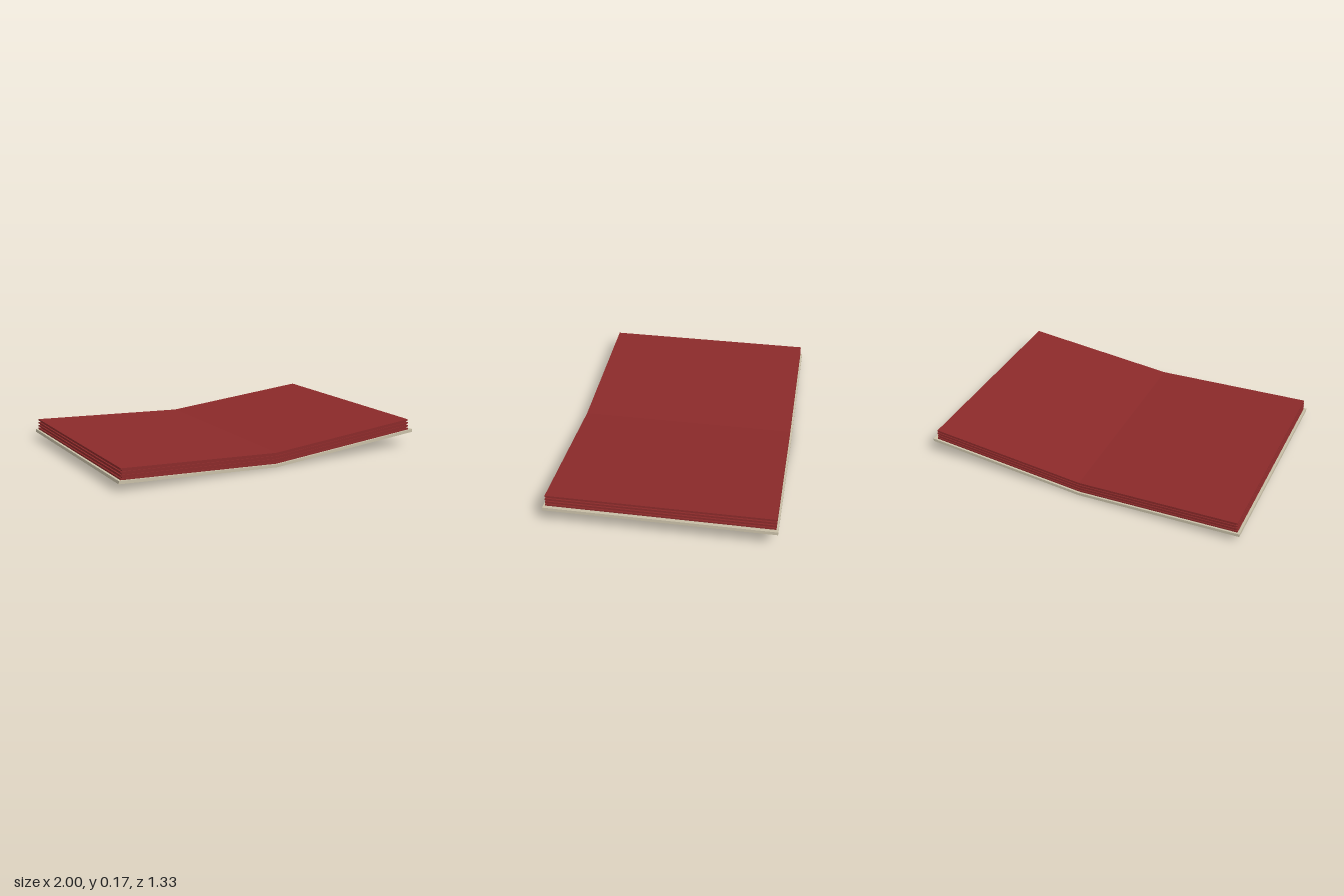
import * as THREE from 'three';

const LEFT_SLOPE = 0.046, RIGHT_SLOPE = 0.09;

// A sheet folded along x = 0, lying between two heights above the underside
function foldedSheet(name, material, low, high, leftReach, rightReach, depth) {
  // Ends stand square to their own half of the sheet
  const left = (h) => [-leftReach + h * LEFT_SLOPE, leftReach * LEFT_SLOPE + h];
  const right = (h) => [rightReach - h * RIGHT_SLOPE, rightReach * RIGHT_SLOPE + h];
  const outline = [left(low), [0, low], right(low), right(high), [0, high], left(high)];
  const shape = new THREE.Shape(outline.map(([x, y]) => new THREE.Vector2(x, y)));
  const geometry = new THREE.ExtrudeGeometry(shape, { depth, bevelEnabled: false });
  geometry.translate(0, 0, -depth / 2);
  const mesh = new THREE.Mesh(geometry, material);
  mesh.name = name;
  return mesh;
}

export function createModel() {
  const model = new THREE.Group();
  model.name = 'foldedStack';
  const backing = new THREE.MeshStandardMaterial({ color: 0xc9c0a8, flatShading: true });
  const red = new THREE.MeshStandardMaterial({ color: 0x8b2a2a, flatShading: true });

  // Pale backing board
  model.add(foldedSheet('backingBoard', backing, 0, 0.018, 1, 1, 1.33));

  // Red leaves alternating with slightly recessed layers
  const stack = new THREE.Group();
  stack.name = 'leafStack';
  const layers = 7, bottom = 0.018, step = 0.066 / layers;
  for (let i = 0; i < layers; i++) {
    const recessed = i % 2 === 1;
    const inset = recessed ? 0.01 : 0;
    stack.add(foldedSheet(recessed ? 'recessedLeaf' : 'leaf', red,
      bottom + i * step, bottom + (i + 1) * step,
      0.985 - inset, 0.977 - inset, 1.306 - inset));
  }
  model.add(stack);
  return model;
}
